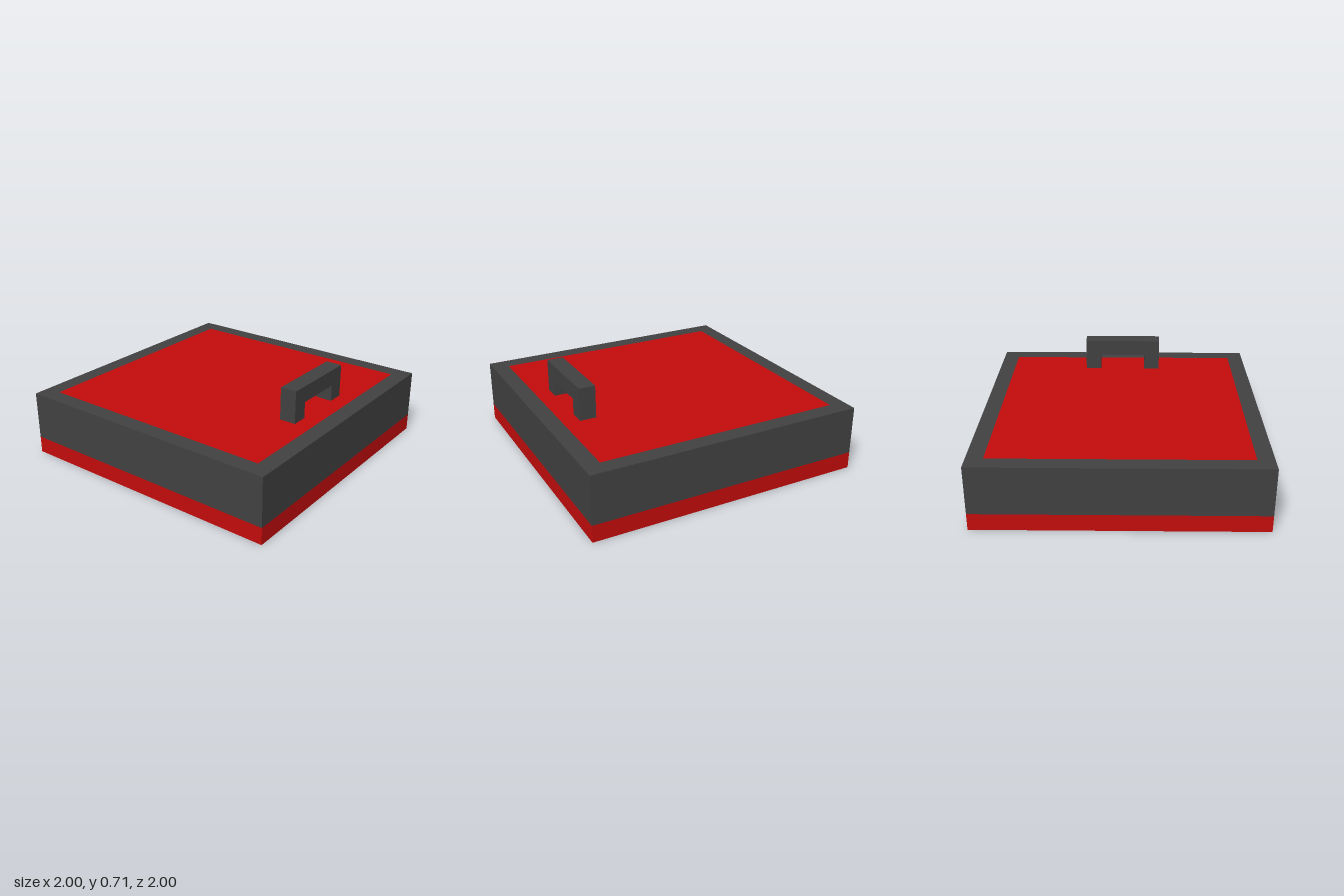
import * as THREE from 'three';

const red = new THREE.MeshStandardMaterial({ name: 'red', color: 0xc40c0c });
const charcoal = new THREE.MeshStandardMaterial({ name: 'charcoal', color: 0x414141 });

const BASE_TOP = 0.122; // top of the red base
const TOP = 0.471;      // top of the frame and panel
const BAR = 0.118;      // thickness of frame border and handle

function box(name, material, size, position) {
  const mesh = new THREE.Mesh(new THREE.BoxGeometry(...size), material);
  mesh.name = name;
  mesh.position.set(...position);
  return mesh;
}

function rectangle(path, half) {
  path.moveTo(-half, -half);
  path.lineTo(half, -half);
  path.lineTo(half, half);
  path.lineTo(-half, half);
  path.closePath();
  return path;
}

// Square border around the panel
function createFrame() {
  const shape = rectangle(new THREE.Shape(), 1);
  shape.holes.push(rectangle(new THREE.Path(), 1 - BAR));
  const geometry = new THREE.ExtrudeGeometry(shape, { depth: TOP - BASE_TOP, bevelEnabled: false });
  geometry.rotateX(-Math.PI / 2);
  const frame = new THREE.Mesh(geometry, charcoal);
  frame.name = 'frame';
  frame.position.y = BASE_TOP;
  return frame;
}

// Square-section bracket, drawn from the side and extruded across its width
function createHandle() {
  const outer = 0.294, inner = outer - BAR, height = 0.235;
  const shape = new THREE.Shape([
    [-outer, 0], [-inner, 0], [-inner, height - BAR], [inner, height - BAR],
    [inner, 0], [outer, 0], [outer, height], [-outer, height],
  ].map(([x, y]) => new THREE.Vector2(x, y)));
  const geometry = new THREE.ExtrudeGeometry(shape, { depth: BAR, bevelEnabled: false });
  geometry.translate(0, 0, -BAR / 2);
  geometry.rotateY(Math.PI / 2);
  const handle = new THREE.Mesh(geometry, charcoal);
  handle.name = 'handle';
  handle.position.set(0.706, TOP, 0);
  return handle;
}

export function createModel() {
  const model = new THREE.Group();
  model.name = 'hatch';
  const panelWidth = 2 * (1 - BAR);
  const panelHeight = TOP - BASE_TOP;
  model.add(
    box('base', red, [2, BASE_TOP, 2], [0, BASE_TOP / 2, 0]),
    createFrame(),
    box('panel', red, [panelWidth, panelHeight, panelWidth], [0, BASE_TOP + panelHeight / 2, 0]),
    createHandle(),
  );
  return model;
}
